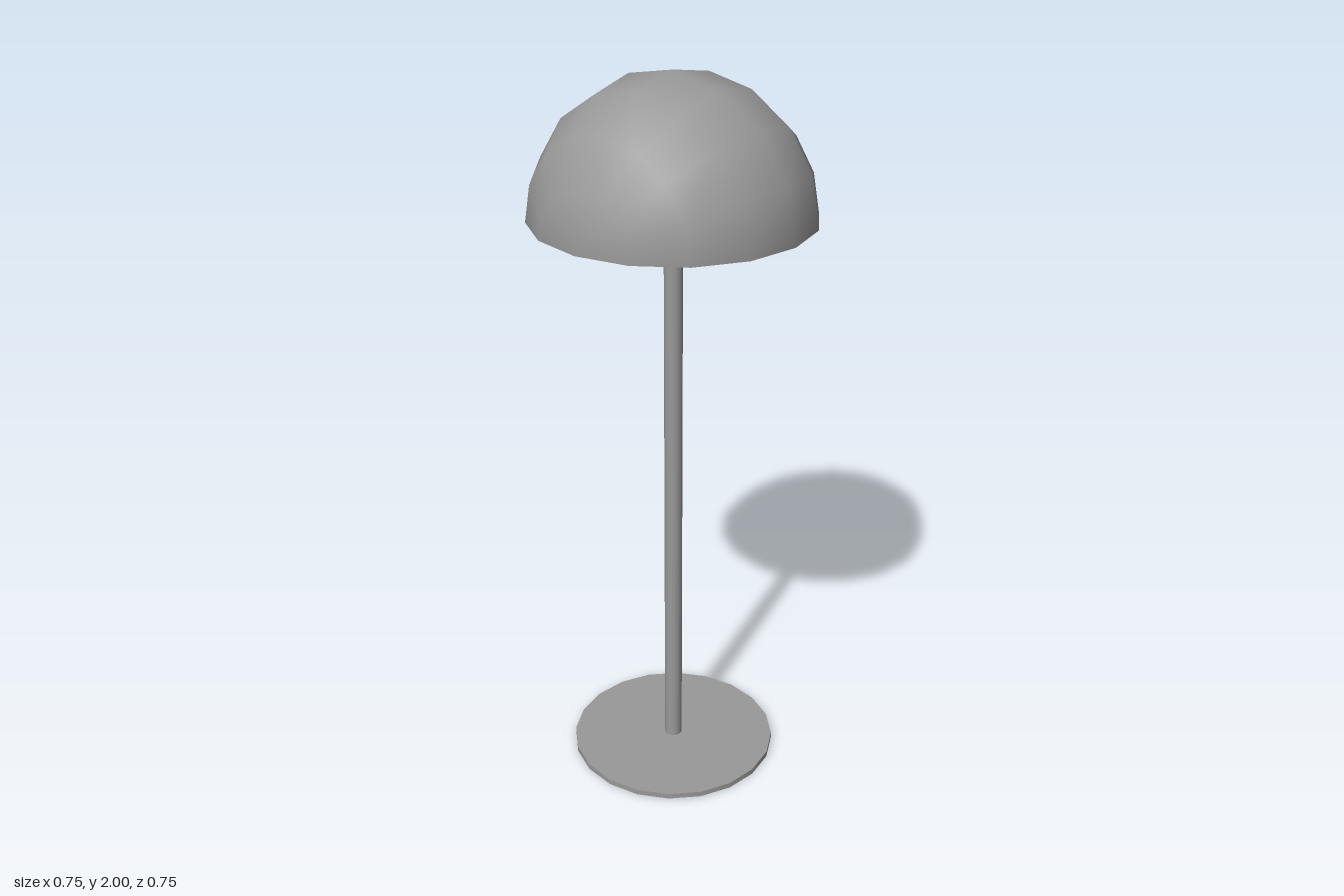
import * as THREE from 'three';

const RIM_Y = 1.627;
const DOME_RADIUS = 0.375;

export function createModel() {
  const lamp = new THREE.Group();
  lamp.name = 'lamp';
  const grey = new THREE.MeshStandardMaterial({ color: 0x999999 });
  const thinGrey = new THREE.MeshStandardMaterial({ color: 0x999999, side: THREE.DoubleSide });

  const add = (name, geometry, material, y) => {
    const mesh = new THREE.Mesh(geometry, material);
    mesh.name = name;
    mesh.position.y = y;
    lamp.add(mesh);
  };

  // Upright cylinder standing between two heights
  const addCylinder = (name, radius, sides, bottom, top) =>
    add(name, new THREE.CylinderGeometry(radius, radius, top - bottom, sides), grey, (bottom + top) / 2);

  // Thin foot disc, with the pole rising through it
  addCylinder('base', 0.294, 20, 0.001, 0.017);
  addCylinder('pole', 0.025, 16, 0, 1.97);

  // Open half-sphere shade with its poles on the rim, front and back
  const dome = new THREE.SphereGeometry(DOME_RADIUS, 8, 8, 0, Math.PI);
  dome.rotateX(-Math.PI / 2);
  dome.scale(1, (2 - RIM_Y) / DOME_RADIUS, 1);
  add('shade', dome, thinGrey, RIM_Y);

  return lamp;
}
